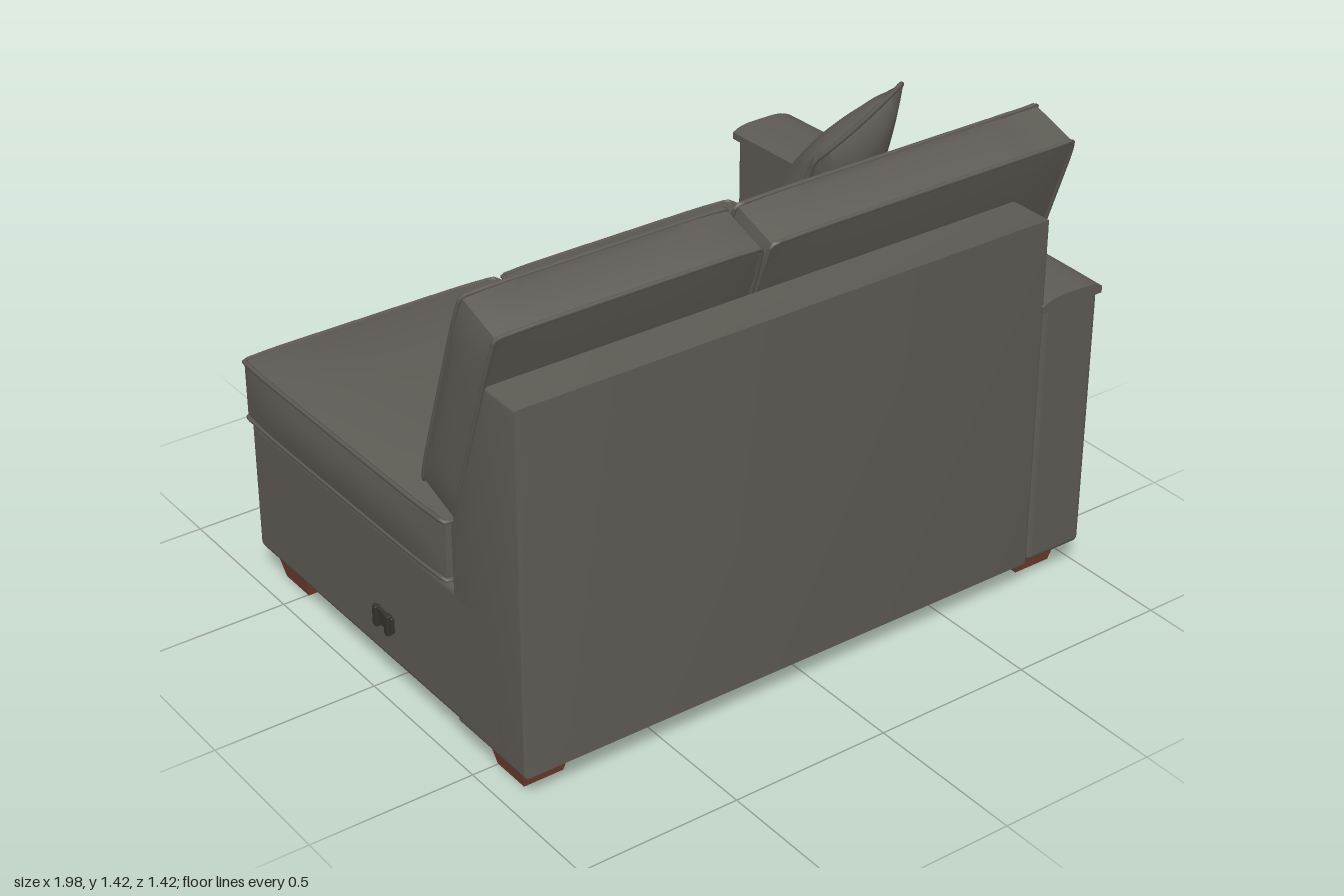
import * as THREE from 'three';
import { toCreasedNormals } from 'three/addons/utils/BufferGeometryUtils.js';
import { RoundedBoxGeometry } from 'three/addons/geometries/RoundedBoxGeometry.js';

const material = (name, color) => Object.assign(new THREE.MeshStandardMaterial({ color }), { name });

export function createModel() {
  const fabric = material('charcoal fabric', 0x5e5a54);
  const wood = material('brown wood', 0x70402f);
  const metal = material('dark metal', 0x34332f);
  const sofa = new THREE.Group();
  sofa.name = 'sofa';

  const add = (name, geometry, mat = fabric, parent = sofa) => {
    const mesh = new THREE.Mesh(geometry, mat);
    mesh.name = name;
    parent.add(mesh);
    return mesh;
  };

  // Rounded block given by its limits on each axis
  const block = (name, [x0, x1], [y0, y1], [z0, z1], radius, mat = fabric) => {
    const mesh = add(name, new RoundedBoxGeometry(x1 - x0, y1 - y0, z1 - z0, 3, radius), mat);
    mesh.position.set((x0 + x1) / 2, (y0 + y1) / 2, (z0 + z1) / 2);
    return mesh;
  };

  // A 2 x 2 x 2 box bent by a rule (u, v, w in -1..1), with piping round its two faces
  const softForm = (name, rule, seams, pipe) => {
    const group = new THREE.Group();
    group.name = name;
    const geometry = new THREE.BoxGeometry(2, 2, 2, 24, 20, 4);
    const p = geometry.attributes.position;
    for (let i = 0; i < p.count; i++) {
      const q = rule(p.getX(i), p.getY(i), p.getZ(i));
      p.setXYZ(i, q.x, q.y, q.z);
    }
    geometry.deleteAttribute('normal');
    add(name + 'Body', toCreasedNormals(geometry, 0.7), fabric, group);
    for (const w of seams) {
      const points = [];
      const n = 24;
      for (let side = 0; side < 4; side++) {
        for (let i = 0; i < n; i++) {
          const t = -1 + (2 * i) / n;
          const [u, v] = [[t, -1], [1, t], [-t, 1], [-1, -t]][side];
          points.push(rule(u, v, w));
        }
      }
      const curve = new THREE.CatmullRomCurve3(points, true);
      add(name + 'Piping', new THREE.TubeGeometry(curve, 192, pipe, 6, true), fabric, group);
    }
    sofa.add(group);
    return group;
  };

  // Boxed cushion: crowned faces, slightly full sides; an optional raised ear past u = 0.7
  const cushion = (name, width, height, thick, crownFront, crownBack, earBottom) =>
    softForm(name, (u, v, w) => {
      const full = 0.014 * (1 - w * w);
      const x = (width / 2) * u * (1 - 0.02 * v ** 8) + u * full * (1 - v ** 4);
      let y = (height / 2) * v * (1 - 0.02 * u ** 8) + v * full * (1 - u ** 4);
      if (earBottom !== undefined && u > 0.7) {
        y = THREE.MathUtils.lerp(earBottom, height / 2, (v + 1) / 2);
      }
      const crown = (1 - Math.abs(u) ** 4) * (1 - Math.abs(v) ** 3);
      const z = w * (thick / 2 + (w > 0 ? crownFront : crownBack) * crown * Math.abs(w));
      return new THREE.Vector3(x, y, z);
    }, [-1, 1], 0.007);

  // Base under the seat
  block('base', [-0.965, 0.785], [0.09, 0.52], [-0.69, 0.6], 0.025);

  // Sloping back frame, drawn in side profile and extruded across the width
  const bevel = 0.012;
  const profile = new THREE.Shape([
    [0.69, 0.102], [0.69, 1.19], [0.57, 1.19], [0.39, 0.7], [0.39, 0.102],
  ].map(([z, y]) => new THREE.Vector2(-z, y)));
  const backGeometry = new THREE.ExtrudeGeometry(profile, {
    depth: 1.75 - 2 * bevel, bevelThickness: bevel, bevelSize: bevel, bevelSegments: 3,
  });
  const back = add('backFrame', toCreasedNormals(backGeometry, 0.6));
  back.rotation.y = Math.PI / 2;
  back.position.x = -0.965 + bevel;

  // Single arm with a crowned, overhanging top
  block('arm', [0.78, 0.985], [0.09, 0.93], [-0.69, 0.705], 0.02);
  const capGeometry = new THREE.BoxGeometry(0.222, 0.03, 1.41, 12, 1, 24);
  const cp = capGeometry.attributes.position;
  for (let i = 0; i < cp.count; i++) {
    if (cp.getY(i) > 0) {
      const a = cp.getX(i) / 0.111;
      const b = cp.getZ(i) / 0.705;
      cp.setY(i, 0.006 + 0.018 * (1 - a ** 4) + 0.01 * (1 - b * b));
    }
  }
  capGeometry.deleteAttribute('normal');
  const cap = add('armTop', toCreasedNormals(capGeometry, 0.7));
  cap.position.set(0.881, 0.93, 0.005);

  // Seat cushions, laid flat
  for (const [name, x, width] of [['leftSeatCushion', 0.326, 0.86], ['rightSeatCushion', -0.547, 0.86]]) {
    const seat = cushion(name, width, 1.07, 0.18, 0.05, 0.005);
    seat.rotation.x = -Math.PI / 2;
    seat.position.set(x, 0.62, -0.165);
  }

  // Back cushions; the one beside the arm has an ear reaching over it
  const backCushions = [
    cushion('rightBackCushion', 0.83, 0.677, 0.16, 0.01, 0.11),
    cushion('leftBackCushion', 1.06, 0.677, 0.16, 0.01, 0.11, -0.07),
  ];
  backCushions.forEach((c, i) => {
    c.rotation.x = 0.33;
    c.position.set([-0.543, 0.42][i], 1.062, 0.419);
  });

  // Loose pillow with pinched edges, leaning in the corner
  const pillow = softForm('pillow', (u, v, w) => {
    const fill = Math.sqrt(Math.max(0, (1 - u * u) * (1 - v * v)));
    return new THREE.Vector3(
      0.325 * u * (1 - 0.07 * (1 - v * v)),
      0.305 * v * (1 - 0.07 * (1 - u * u)),
      w * (0.006 + 0.11 * fill),
    );
  }, [0], 0.008);
  pillow.rotation.set(0.387, 0.477, -0.06, 'YXZ');
  pillow.position.set(0.53, 1.04, 0.01);

  // Tapered square feet
  const foot = new THREE.CylinderGeometry(0.083 * Math.SQRT2, 0.063 * Math.SQRT2, 0.094, 4)
    .rotateY(Math.PI / 4).toNonIndexed();
  foot.computeVertexNormals();
  for (const x of [-0.855, 0.88]) {
    for (const z of [-0.56, 0.56]) {
      add('foot', foot, wood).position.set(x, 0.047, z);
    }
  }

  // Connector bracket on the open side
  block('bracketPlate', [-0.975, -0.96], [0.2, 0.25], [-0.03, 0.07], 0.003, metal);
  for (const z of [-0.02, 0.04]) {
    block('bracketHook', [-0.983, -0.965], [0.19, 0.255], [z, z + 0.02], 0.003, metal);
  }

  return sofa;
}
